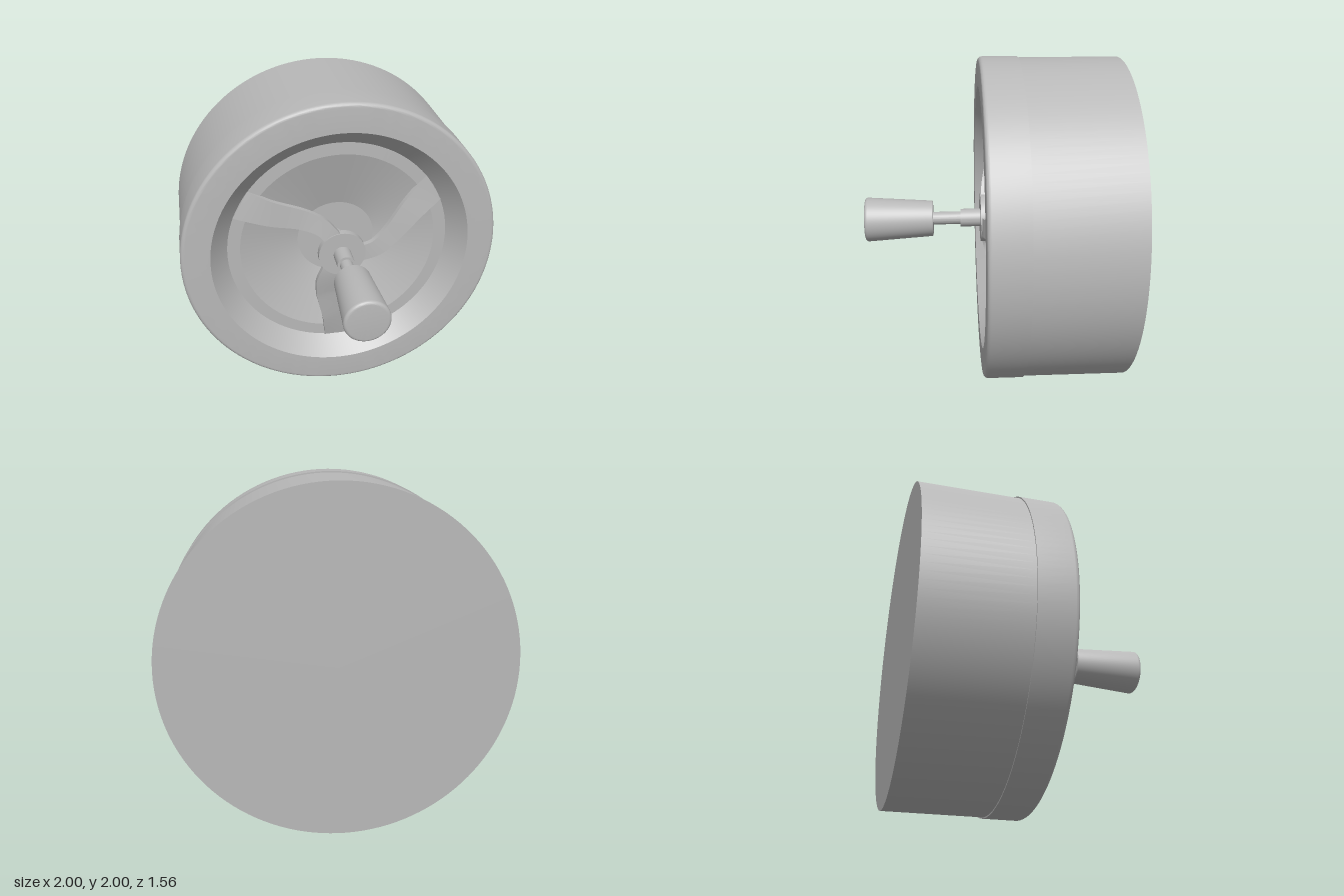
import * as THREE from 'three';
import { toCreasedNormals } from 'three/addons/utils/BufferGeometryUtils.js';

const grey = new THREE.MeshStandardMaterial({ color: 0xb8b8b8 });
grey.name = 'plain grey';

// Quarter-round corner from startAngle, as [radius, z] points
function corner(cr, cz, r, startAngle, steps = 8) {
  return Array.from({ length: steps + 1 }, (_, i) => {
    const a = startAngle + (i / steps) * Math.PI / 2;
    return [cr + r * Math.cos(a), cz + r * Math.sin(a)];
  });
}

// Turned part whose axis runs along z; the profile goes from back to front
function turned(name, profile, segments = 96) {
  const points = profile.map(([r, z]) => new THREE.Vector2(r, z));
  const geo = new THREE.LatheGeometry(points, segments);
  geo.rotateX(Math.PI / 2);
  const mesh = new THREE.Mesh(toCreasedNormals(geo, 0.245), grey);
  mesh.name = name;
  return mesh;
}

// Curved edges of the downward spoke, from hub to rim
const edge = pts => new THREE.CatmullRomCurve3(pts.map(([x, y]) => new THREE.Vector3(x, y, 0)));
const leftEdge = edge([[-0.12, -0.08], [-0.163, -0.2], [-0.16, -0.33], [-0.115, -0.55], [-0.1, -0.705]]);
const rightEdge = edge([[-0.01, -0.1], [-0.047, -0.2], [-0.03, -0.31], [0.045, -0.5], [0.1, -0.705]]);

// Box bent between the two edges and dipping toward the rim
function spokeGeometry() {
  const geo = new THREE.BoxGeometry(1, 1, 1, 2, 24, 1);
  const pos = geo.attributes.position;
  const p = new THREE.Vector3();
  for (let i = 0; i < pos.count; i++) {
    const t = 0.5 - pos.getY(i);
    p.lerpVectors(leftEdge.getPoint(t), rightEdge.getPoint(t), pos.getX(i) + 0.5);
    const top = 0.055 - 0.11 * Math.pow(t, 1.5);
    pos.setXYZ(i, p.x, p.y, top + (pos.getZ(i) - 0.5) * 0.035);
  }
  geo.computeVertexNormals();
  return geo;
}

export function createModel() {
  const group = new THREE.Group();
  const wheel = new THREE.Group();
  wheel.name = 'wheel';
  wheel.position.y = 1;
  group.add(wheel);

  // Drum with a slightly wider rim and a dished front
  wheel.add(turned('drumAndRim', [
    [0, -0.78], [0.992, -0.78], [0.992, -0.17], [1, -0.17],
    ...corner(0.975, 0.04, 0.025, 0),
    [0.82, 0.065], [0.71, -0.06], [0.63, -0.06], [0.25, -0.17], [0, -0.17],
  ], 128));

  // Hub disc at the centre of the spokes
  wheel.add(turned('hub', [[0, 0.015], [0.15, 0.015], [0.15, 0.06], [0, 0.06]], 64));

  // Three swept spokes
  const spokeGeo = spokeGeometry();
  for (let i = 0; i < 3; i++) {
    const spoke = new THREE.Mesh(spokeGeo, grey);
    spoke.name = 'spoke' + (i + 1);
    spoke.rotation.z = i * Math.PI * 2 / 3;
    wheel.add(spoke);
  }

  // Collar, shaft and tapered grip
  wheel.add(turned('collar', [[0, -0.17], [0.056, -0.17], [0.056, 0.185], [0, 0.185]], 48));
  wheel.add(turned('shaft', [[0, 0.18], [0.04, 0.18], [0.04, 0.37], [0, 0.37]], 48));
  wheel.add(turned('grip', [
    [0, 0.357], [0.108, 0.357], [0.112, 0.361],
    ...corner(0.118, 0.76, 0.02, 0), [0, 0.78],
  ], 64));

  return group;
}
